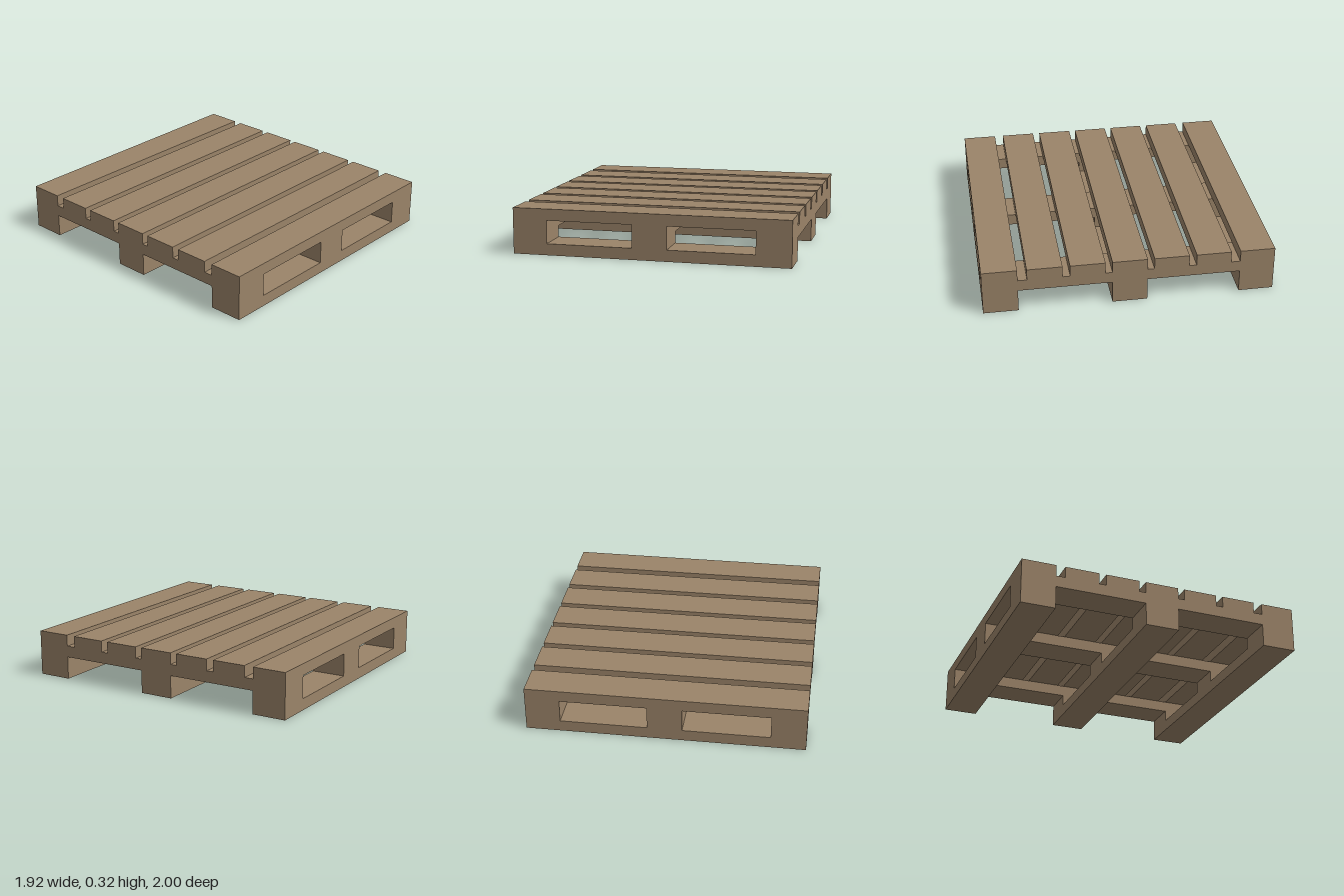
import * as THREE from 'three';

const W = 0.96;      // half width in x
const B = 0.24;      // width of boards, posts and bearers
const T = 0.08;      // thickness of each layer
const H = 4 * T;     // full height

export function createModel() {
  const pallet = new THREE.Group();
  pallet.name = 'pallet';
  const wood = new THREE.MeshStandardMaterial({ color: 0x9b8469, flatShading: true });

  const add = (name, geometry, x, y, z) => {
    const mesh = new THREE.Mesh(geometry, wood);
    mesh.name = name;
    mesh.position.set(x, y, z);
    pallet.add(mesh);
  };
  const rect = (target, x0, y0, x1, y1) => {
    target.moveTo(x0, y0).lineTo(x1, y0).lineTo(x1, y1).lineTo(x0, y1).closePath();
    return target;
  };

  // Skid, three posts and top board as one frame with two fork openings
  const outline = rect(new THREE.Shape(), -W, 0, W, H);
  outline.holes.push(
    rect(new THREE.Path(), -W + B, T, -B / 2, 3 * T),
    rect(new THREE.Path(), B / 2, T, W - B, 3 * T)
  );
  const frame = new THREE.ExtrudeGeometry(outline, { depth: B, bevelEnabled: false });
  frame.translate(0, 0, -B / 2);
  const frameZ = 1 - B / 2;
  add('frontFrame', frame, 0, 0, frameZ);
  add('middleFrame', frame, 0, 0, 0);
  add('backFrame', frame, 0, 0, -frameZ);

  // Deck boards between the frames
  const board = new THREE.BoxGeometry(2 * W, T, B);
  for (const z of [-0.577, -0.287, 0.287, 0.577]) add('deckBoard', board, 0, 3.5 * T, z);

  // Bearers under the deck, joining the posts of neighbouring frames
  const span = frameZ - B;
  const bearer = new THREE.BoxGeometry(B, T, span);
  for (const x of [-W + B / 2, 0, W - B / 2]) {
    for (const side of [-1, 1]) add('bearer', bearer, x, 2.5 * T, side * frameZ / 2);
  }

  return pallet;
}
